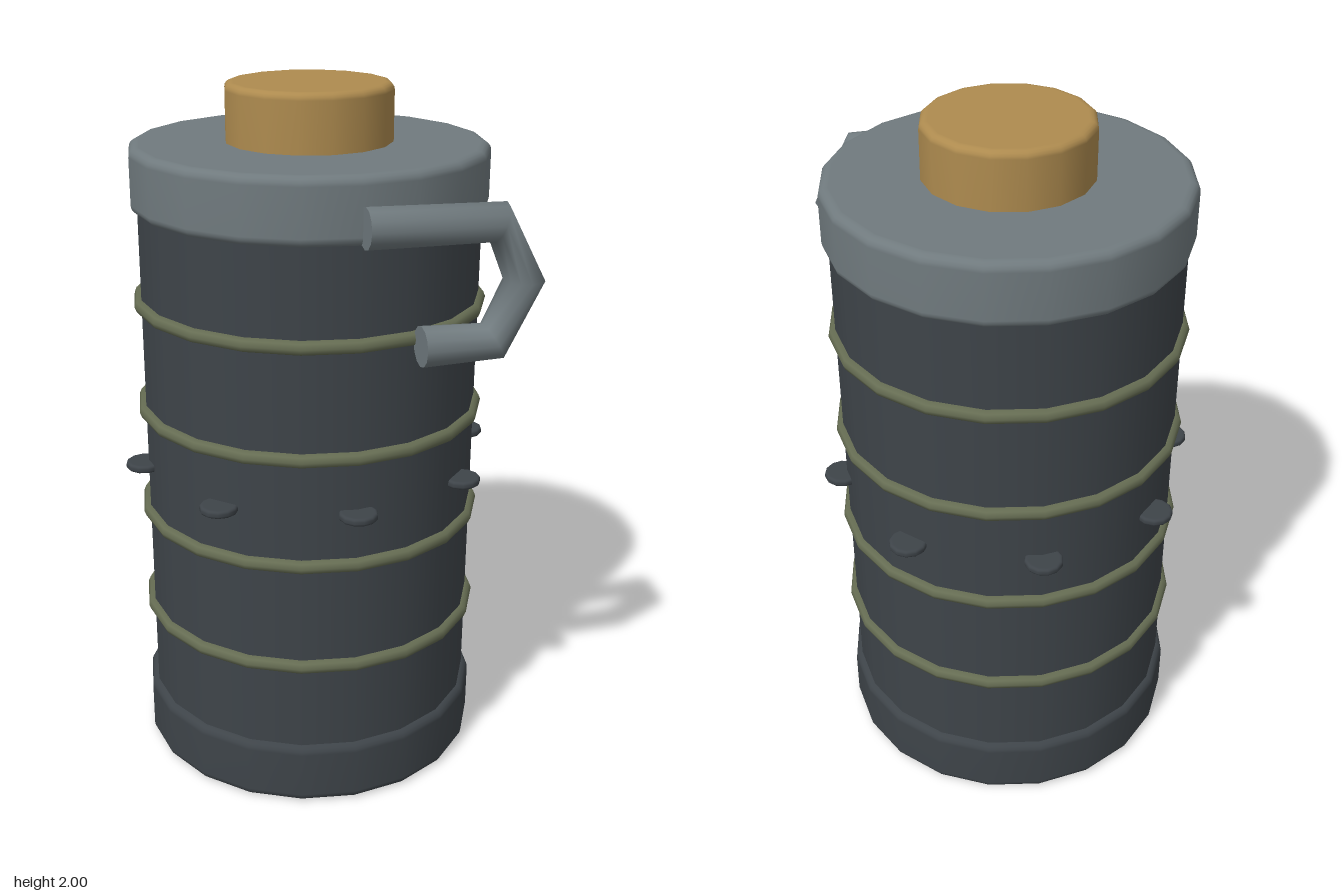
import * as THREE from 'three';

const mat = (name, color) => {
  const m = new THREE.MeshStandardMaterial({ color });
  m.name = name;
  return m;
};

// Solid drum from y0 to y1 with rounded rims
function drum(r, y0, y1, bevel, sides) {
  const pts = [[0, y0], [r - bevel - 0.004, y0]];
  for (let i = 0; i <= 4; i++) {
    const a = (i / 4) * Math.PI / 2;
    pts.push([r - bevel + bevel * Math.sin(a), y0 + bevel - bevel * Math.cos(a)]);
  }
  for (let i = 0; i <= 4; i++) {
    const a = (i / 4) * Math.PI / 2;
    pts.push([r - bevel + bevel * Math.cos(a), y1 - bevel + bevel * Math.sin(a)]);
  }
  pts.push([r - bevel - 0.004, y1], [0, y1]);
  return new THREE.LatheGeometry(pts.map(([x, y]) => new THREE.Vector2(x, y)), sides);
}

// Straight-segment path whose tube rings fall exactly on its corners
class BentPath extends THREE.Curve {
  constructor(points) { super(); this.points = points; }
  getPoint(t, target = new THREE.Vector3()) {
    const n = this.points.length - 1;
    const i = Math.min(Math.floor(t * n), n - 1);
    return target.lerpVectors(this.points[i], this.points[i + 1], t * n - i);
  }
  getPointAt(u, target) { return this.getPoint(u, target); }
  getTangentAt(u, target) { return this.getTangent(u, target); }
}

export function createModel() {
  const model = new THREE.Group();
  model.name = 'canister';
  const dark = mat('dark casing', 0x3e4449);
  const grey = mat('grey metal', 0x707a7e);
  const olive = mat('olive band', 0x666d53);
  const brass = mat('brass', 0xae8b4f);

  const add = (name, geometry, material, parent = model) => {
    const mesh = new THREE.Mesh(geometry, material);
    mesh.name = name;
    parent.add(mesh);
    return mesh;
  };

  // Everything round shares an axis set slightly back
  const core = new THREE.Group();
  core.name = 'core';
  core.position.z = -0.014;
  model.add(core);

  add('body', new THREE.CylinderGeometry(0.485, 0.485, 1.68, 20), dark, core).position.y = 0.9;
  add('base', drum(0.505, 0.005, 0.19, 0.025, 20), dark, core);
  add('lid', drum(0.502, 1.66, 1.84, 0.025, 20), grey, core);
  add('knob', drum(0.234, 1.8, 2, 0.02, 16), brass, core);

  // Bands around the body
  for (let i = 0; i < 4; i++) {
    const band = add('band', new THREE.TorusGeometry(0.485, 0.02, 8, 20), olive, core);
    band.rotation.x = Math.PI / 2;
    band.position.y = 0.452 + i * 0.315;
  }

  // Ring of thin lugs
  const lugShape = drum(0.054, -0.011, 0.011, 0.008, 12);
  for (let i = 0; i < 8; i++) {
    const a = (i / 8) * Math.PI * 2;
    const lug = add('lug', lugShape, dark, core);
    lug.position.set(0.497 * Math.sin(a), 0.922, 0.497 * Math.cos(a));
    lug.rotation.y = a;
  }

  // Hooked handle on the front
  const handle = new THREE.Group();
  handle.name = 'handle';
  model.add(handle);
  const r = 0.055;
  const pts = [[0, 1.712], [0.355, 1.707], [0.432, 1.55], [0.352, 1.392], [0.155, 1.392]]
    .map(([x, y]) => new THREE.Vector3(x, y, 0.504));
  add('handleBar', new THREE.TubeGeometry(new BentPath(pts), pts.length - 1, r, 12), grey, handle);
  for (const p of [pts[0], pts[4]]) {
    const cap = add('handleEnd', new THREE.CircleGeometry(r, 12), grey, handle);
    cap.position.copy(p);
    cap.rotation.y = -Math.PI / 2;
  }

  return model;
}
